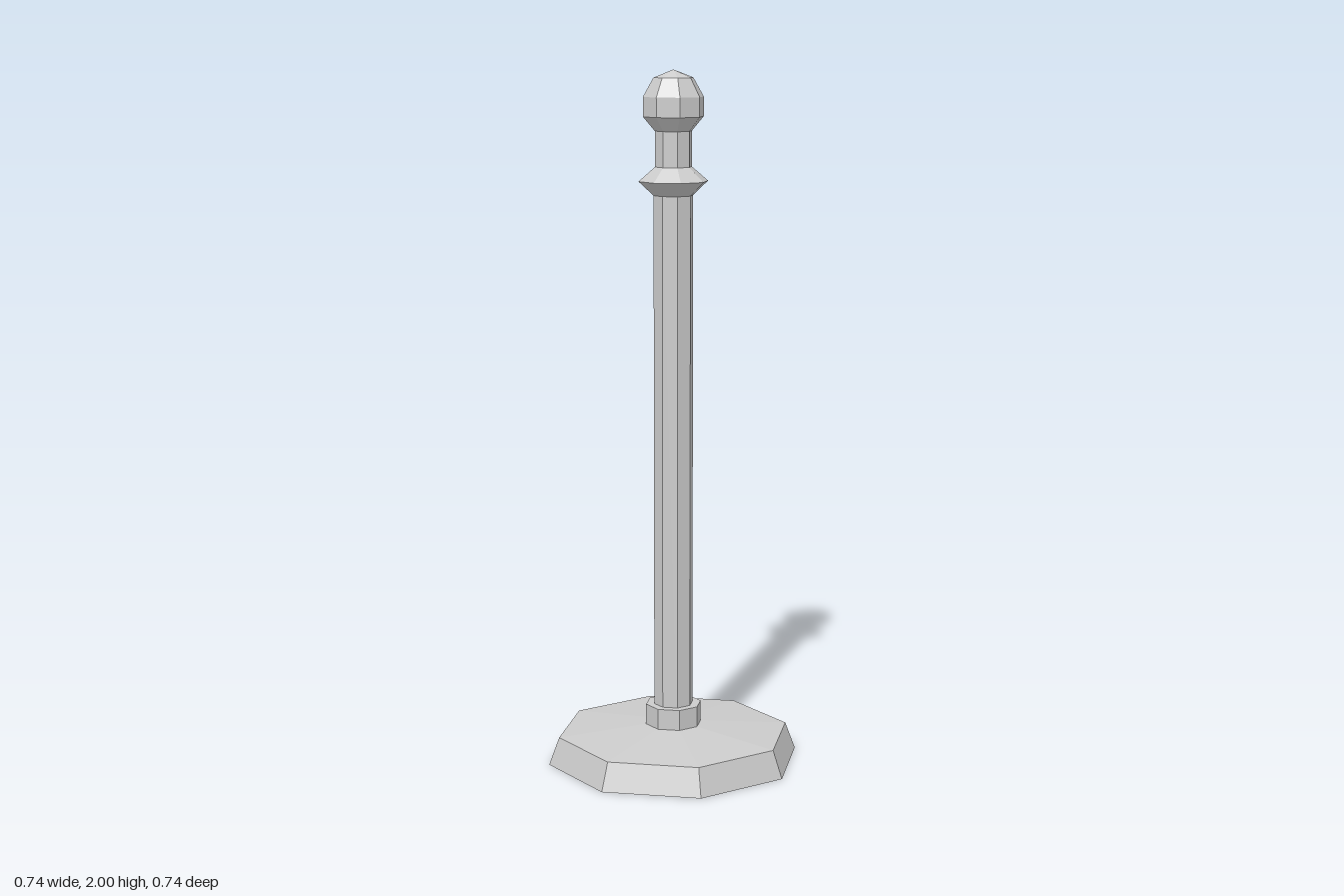
import * as THREE from 'three';

const SIDES = 8;

export function createModel() {
  const group = new THREE.Group();
  const material = new THREE.MeshStandardMaterial({ color: 0xcccccc, flatShading: true });

  // Octagonal turned part from [radius, height] pairs, bottom to top
  const turn = (name, profile) => {
    const points = profile.map(([r, y]) => new THREE.Vector2(r, y));
    const mesh = new THREE.Mesh(new THREE.LatheGeometry(points, SIDES), material);
    mesh.name = name;
    group.add(mesh);
  };

  // Heavy foot with bevelled rim and slightly coned top
  turn('base', [[0, 0], [0.37, 0], [0.34, 0.08], [0.08, 0.105], [0, 0.105]]);
  // Socket holding the post
  turn('socket', [[0.082, 0.1], [0.082, 0.165], [0.05, 0.165]]);
  turn('post', [[0.057, 0.1], [0.057, 1.65]]);
  // Double-bevelled ring
  turn('collar', [[0.057, 1.65], [0.1, 1.69], [0.053, 1.73]]);
  turn('neck', [[0.053, 1.73], [0.053, 1.83]]);
  // Faceted ball finial
  turn('knob', [[0.053, 1.83], [0.087, 1.87], [0.087, 1.925], [0.057, 1.978], [0, 2]]);

  return group;
}
